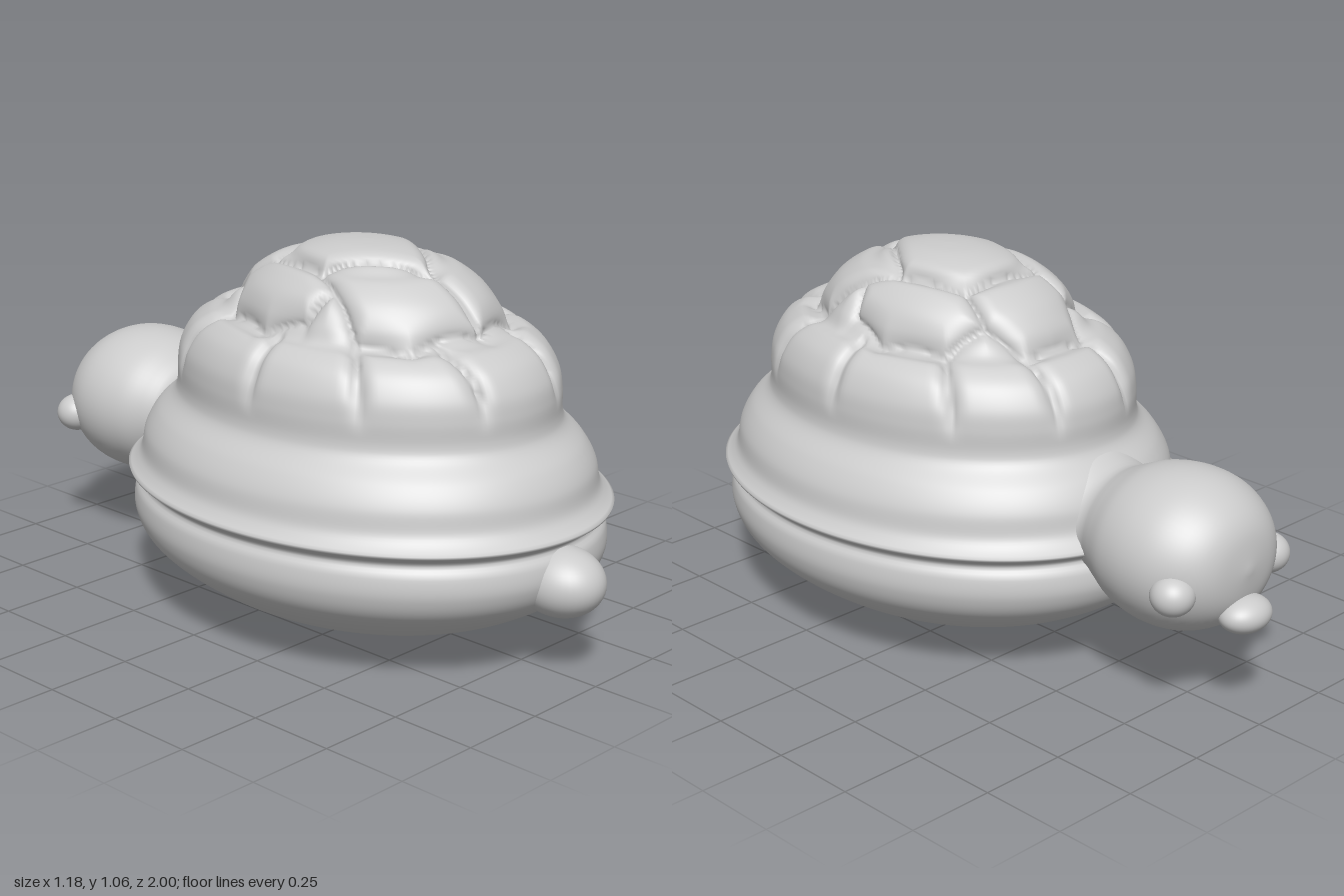
import * as THREE from 'three';
import { mergeVertices } from 'three/addons/utils/BufferGeometryUtils.js';

const CZ = 0.175; // centre of the shell along z
const material = new THREE.MeshStandardMaterial({ color: 0xcccccc });

// Scute seams in plan (x, z) for the left half; mirrored below
const topPlate = [[0, -0.045], [0.14, -0.04], [0.19, 0.18], [0, 0.43]];
const ring = [[0, -0.255], [0.11, -0.25], [0.165, -0.14], [0.27, -0.09], [0.335, 0.1],
  [0.31, 0.24], [0.235, 0.275], [0.285, 0.4], [0.21, 0.53], [0, 0.6]];
const spokes = [
  [[0.14, -0.04], [0.165, -0.14]], [[0.19, 0.18], [0.235, 0.275]], [[0, 0.43], [0, 0.6]],
  [[0.115, -0.25], [0.14, -0.45]], [[0.27, -0.09], [0.39, -0.25]], [[0.335, 0.17], [0.5, 0.17]],
  [[0.285, 0.4], [0.41, 0.53]], [[0.14, 0.56], [0.15, 0.78]],
];
const chain = (pts) => pts.slice(1).map((p, i) => [pts[i], p]);
const seams = [...chain(topPlate), ...chain(ring), ...spokes];

function seamDistance(x, z) {
  x = Math.abs(x);
  let best = Infinity;
  for (const [[ax, az], [bx, bz]] of seams) {
    const dx = bx - ax, dz = bz - az;
    const t = THREE.MathUtils.clamp(((x - ax) * dx + (z - az) * dz) / (dx * dx + dz * dz), 0, 1);
    best = Math.min(best, Math.hypot(x - ax - t * dx, z - az - t * dz));
  }
  return best;
}

function addMesh(group, name, geometry) {
  const mesh = new THREE.Mesh(geometry, material);
  mesh.name = name;
  group.add(mesh);
  return mesh;
}

function weld(geometry) {
  geometry.deleteAttribute('uv');
  geometry.deleteAttribute('normal');
  const welded = mergeVertices(geometry, 1e-5);
  welded.computeVertexNormals();
  return welded;
}

// Smooth lathe through a few [radius, height] points
function smoothLathe(profile, samples, segments) {
  const curve = new THREE.SplineCurve(profile.map(([r, y]) => new THREE.Vector2(r, y)));
  const points = curve.getSpacedPoints(samples).map((p) => p.setX(Math.max(p.x, 0)));
  points[0].x = points[samples].x = 0;
  return new THREE.LatheGeometry(points, segments);
}

// Oval body: belly, rim and three-tier dome, with the seams pressed inward
function bodyGeometry() {
  const profile = [
    [0, 0.003], [0.2, 0.02], [0.37, 0.08], [0.47, 0.138], [0.545, 0.205], [0.574, 0.27], [0.572, 0.33],
    [0.557, 0.36], [0.573, 0.38], [0.59, 0.395], [0.574, 0.412], [0.556, 0.44], [0.543, 0.5],
    [0.512, 0.555], [0.467, 0.605], [0.454, 0.64], [0.452, 0.7], [0.443, 0.755], [0.415, 0.81],
    [0.375, 0.845], [0.338, 0.86], [0.312, 0.905], [0.275, 0.96], [0.225, 1.0], [0.185, 1.013],
    [0.15, 1.04], [0.08, 1.06], [0, 1.066]];
  const lathe = smoothLathe(profile, 200, 256);
  const p = lathe.attributes.position;
  const { smoothstep } = THREE.MathUtils;
  for (let i = 0; i < p.count; i++) {
    const y = p.getY(i);
    const stretch = 1.262 + 0.038 * smoothstep(y, 0.45, 0.65) - 0.045 * smoothstep(y, 0.8, 1);
    p.setZ(i, p.getZ(i) * stretch + CZ);
  }
  const geometry = weld(lathe);
  const pos = geometry.attributes.position, normal = geometry.attributes.normal;
  const v = new THREE.Vector3(), n = new THREE.Vector3();
  for (let i = 0; i < pos.count; i++) {
    v.fromBufferAttribute(pos, i);
    const fade = smoothstep(v.y, 0.66, 0.78);
    if (fade === 0) continue;
    const t = 1 - Math.min(seamDistance(v.x, v.z) / 0.05, 1);
    const depth = 0.036 * fade * (1 - Math.sqrt(1 - t * t));
    v.addScaledVector(n.fromBufferAttribute(normal, i), -depth);
    pos.setXYZ(i, v.x, v.y, v.z);
  }
  geometry.computeVertexNormals();
  return geometry;
}

// Head and neck turned around the z axis, heights measured towards -z
function headGeometry() {
  const profile = [[0, 0.28], [0.2, 0.3], [0.22, 0.38], [0.185, 0.45], [0.172, 0.5], [0.195, 0.55],
    [0.228, 0.62], [0.243, 0.71], [0.231, 0.8], [0.185, 0.88], [0.115, 0.928], [0, 0.947]];
  const geometry = weld(smoothLathe(profile, 60, 64));
  geometry.rotateX(-Math.PI / 2);
  geometry.scale(1, 0.9, 1);
  return geometry;
}

function addBlob(group, name, center, radii) {
  const blob = addMesh(group, name, new THREE.SphereGeometry(1, 40, 28));
  blob.position.set(...center);
  blob.scale.set(...radii);
}

export function createModel() {
  const model = new THREE.Group();
  model.name = 'turtle';
  addMesh(model, 'shell', bodyGeometry());

  const head = new THREE.Group();
  head.name = 'head';
  model.add(head);
  addMesh(head, 'headAndNeck', headGeometry()).position.y = 0.428;
  for (const side of [1, -1]) {
    addBlob(head, side > 0 ? 'leftEye' : 'rightEye', [side * 0.19, 0.39, -0.85], [0.06, 0.055, 0.06]);
  }
  addBlob(head, 'snout', [0, 0.305, -0.935], [0.08, 0.05, 0.065]);

  addBlob(model, 'tail', [0, 0.265, 0.875], [0.108, 0.095, 0.125]);
  return model;
}
